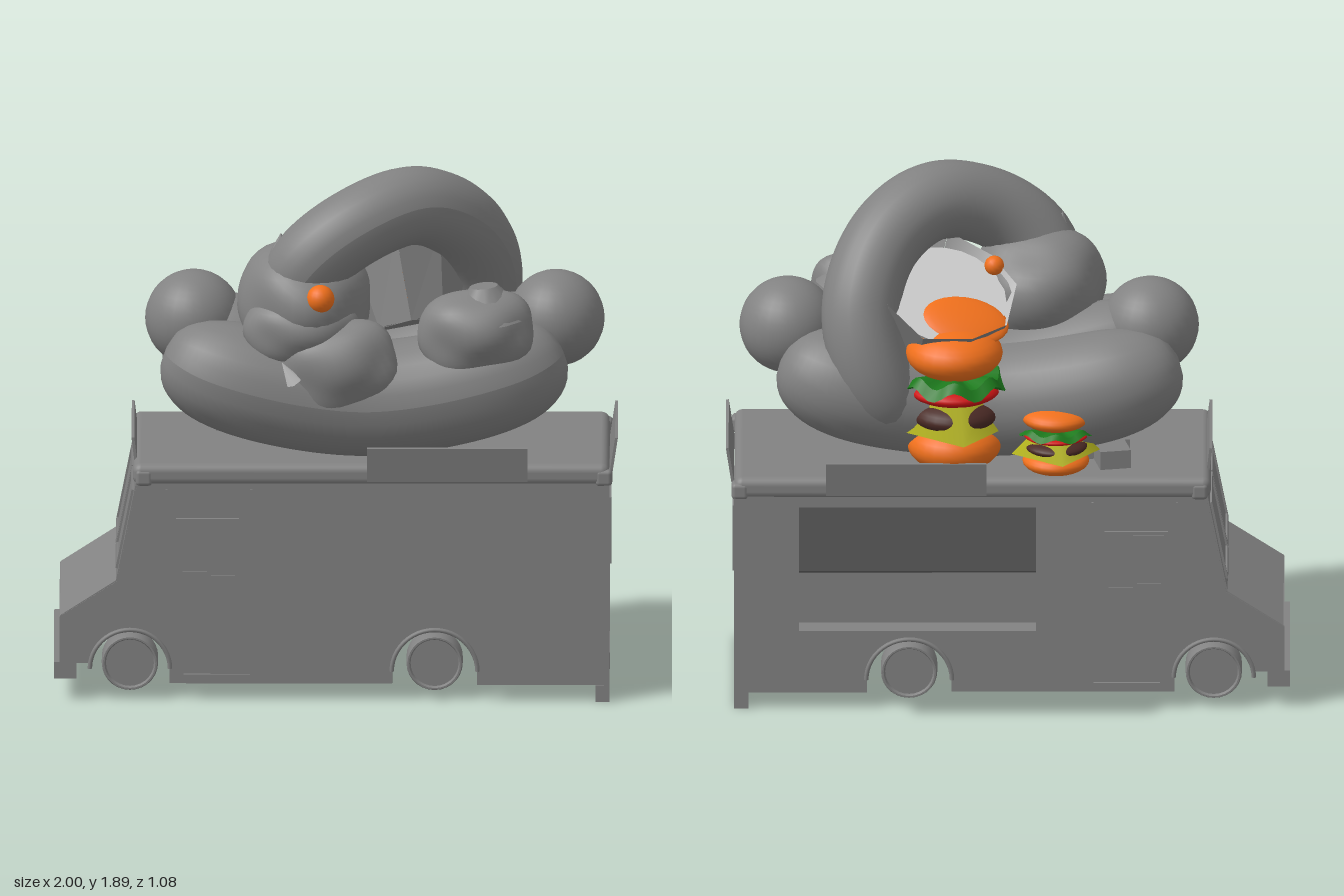
import * as THREE from 'three';
import { toCreasedNormals } from 'three/addons/utils/BufferGeometryUtils.js';
import { RoundedBoxGeometry } from 'three/addons/geometries/RoundedBoxGeometry.js';

const mat = (color, extra = {}) => new THREE.MeshStandardMaterial({ color, side: THREE.DoubleSide, ...extra });
const GREY = mat(0x828282), DARK = mat(0x444444);
const ORANGE = mat(0xf0701c), BROWN = mat(0x4a2a25), CHEESE = mat(0xb0b01c);
const GREEN = mat(0x1d7a1d), RED = mat(0xd01515), WHITE = mat(0xf2f2f2);
const Z0 = -0.275, Z1 = 0.45, ZC = (Z0 + Z1) / 2;
const V = (x, y, z) => new THREE.Vector3(x, y, z);

export function createModel() {
  const root = new THREE.Group();
  const add = (name, geo, m = GREY, p = [0, 0, 0], r = [0, 0, 0], parent = root) => {
    const mesh = new THREE.Mesh(geo, m);
    mesh.name = name;
    mesh.position.set(...p);
    mesh.rotation.set(...r);
    parent.add(mesh);
    return mesh;
  };
  const box = (name, x0, x1, y0, y1, z0, z1) =>
    add(name, new THREE.BoxGeometry(x1 - x0, y1 - y0, z1 - z0), GREY, [(x0 + x1) / 2, (y0 + y1) / 2, (z0 + z1) / 2]);
  // rectangular frame with a thin pane, facing +z of its group
  const windowFrame = (name, w, h, p, r) => {
    const g = new THREE.Group();
    g.name = name;
    const s = 0.014;
    for (const k of [-1, 1]) {
      add('frameSide', new THREE.BoxGeometry(s, h, 0.018), GREY, [k * w / 2, 0, 0], [0, 0, 0], g);
      add('frameRail', new THREE.BoxGeometry(w + s, s, 0.018), GREY, [0, k * h / 2, 0], [0, 0, 0], g);
    }
    add('pane', new THREE.BoxGeometry(w, h, 0.004), GREY, [0, 0, 0], [0, 0, 0], g);
    g.position.set(...p);
    g.rotation.set(...r);
    root.add(g);
    return g;
  };

  // Truck side walls with wheel arches, open underneath
  const side = new THREE.Shape();
  side.moveTo(-0.98, 0.14);
  side.lineTo(-0.87, 0.14);
  side.absarc(-0.73, 0.12, 0.14, Math.PI - 0.14, 0, true);
  side.lineTo(-0.59, 0.065);
  side.lineTo(0.2, 0.065);
  side.absarc(0.35, 0.11, 0.15, Math.PI, 0, true);
  for (const p of [[0.5, 0.06], [0.965, 0.06], [0.965, 0.82], [-0.7, 0.82], [-0.775, 0.44], [-0.98, 0.31]]) side.lineTo(...p);
  side.closePath();
  for (const z of [Z0, Z1 - 0.01])
    add('sideWall', new THREE.ExtrudeGeometry(side, { depth: 0.01, bevelEnabled: false, curveSegments: 16 }), GREY, [0, 0, z]);

  // Back, windscreen, bonnet and grille panels
  const outline = [[0.96, 0.06], [0.96, 0.82], [-0.7, 0.82], [-0.775, 0.44], [-0.975, 0.31], [-0.975, 0.14]];
  ['backWall', 'ceiling', 'windscreenWall', 'bonnet', 'grille'].forEach((n, i) => {
    const [a, b] = [outline[i], outline[i + 1]], dx = b[0] - a[0], dy = b[1] - a[1];
    add(n, new THREE.BoxGeometry(Math.hypot(dx, dy), 0.01, Z1 - Z0 - 0.004), GREY,
      [(a[0] + b[0]) / 2, (a[1] + b[1]) / 2, ZC], [0, 0, Math.atan2(dy, dx)]);
  });
  add('roof', new RoundedBoxGeometry(1.69, 0.08, 0.74, 3, 0.03), GREY, [0.125, 0.83, ZC]);
  for (const z of [Z0 + 0.02, Z1 - 0.02]) for (const x of [-0.68, 0.95])
    add('roofCorner', new RoundedBoxGeometry(0.06, 0.06, 0.06, 2, 0.015), GREY, [x, 0.82, z]);
  box('frontBumper', -1, -0.92, 0.08, 0.14, Z0 + 0.01, Z1 - 0.01);
  box('rearBumper', 0.92, 0.97, 0, 0.06, Z0, Z1 + 0.01);
  for (const z of [Z0, Z1]) box('cornerTrim', 0.95, 0.97, 0.06, 0.8, z - 0.006, z + 0.006);

  // Windows, doors and arch rims
  for (const z of [0.205, -0.025]) windowFrame('rearWindow', 0.165, 0.23, [0.967, 0.585, z], [0, Math.PI / 2, 0]);
  for (const z of [ZC - 0.165, ZC + 0.165])
    windowFrame('windscreen', 0.3, 0.28, [-0.744, 0.62, z], [0, -Math.PI / 2, 0]).rotation.set(0, -Math.PI / 2, -Math.atan2(0.075, 0.38), 'ZYX');
  for (const [z, r] of [[Z1 + 0.003, 0], [Z0 - 0.003, Math.PI]]) {
    windowFrame('doorWindow', 0.21, 0.21, [-0.455, 0.56, z], [0, r, 0]);
    windowFrame('slidingPane', 0.1, 0.18, [-0.5, 0.56, z], [0, r, 0]);
    for (const x of [-0.6, -0.3]) box('doorSeam', x - 0.004, x + 0.004, x < -0.5 ? 0.26 : 0.1, 0.78, z - 0.004, z + 0.004);
    box('doorSill', -0.54, -0.3, 0.09, 0.1, z - 0.004, z + 0.004);
    for (const [x, y, R] of [[-0.73, 0.12, 0.142], [0.35, 0.11, 0.152]])
      add('archRim', new THREE.TorusGeometry(R, 0.008, 6, 24, Math.PI), GREY, [x, y, z]);
  }
  const tyre = [[0, 0.04], [0.085, 0.04], [0.09, 0.05], [0.096, 0.05], [0.1, 0.04], [0.1, -0.05], [0, -0.05]];
  const wheel = toCreasedNormals(new THREE.LatheGeometry(tyre.map(p => new THREE.Vector2(...p)), 28), 0.6);
  for (const x of [-0.73, 0.35]) for (const [z, s] of [[0.39, 1], [-0.22, -1]])
    add('wheel', wheel, GREY, [x, 0.135, z], [s * Math.PI / 2, 0, 0]);

  // Serving hatch awning with side wings, and counter shelf
  add('awning', new THREE.BoxGeometry(0.84, 0.012, 0.31), DARK, [0.32, 0.685, -0.41], [-Math.atan2(0.14, 0.275), 0, 0]);
  const wing = new THREE.Shape([[0.27, 0.75], [0.548, 0.61], [0.548, 0.56], [0.27, 0.66]].map(p => new THREE.Vector2(...p)));
  for (const x of [-0.1, 0.735]) add('awningWing', new THREE.ExtrudeGeometry(wing, { depth: 0.006, bevelEnabled: false }), GREY, [x, 0, 0], [0, Math.PI / 2, 0]);
  box('awningLip', -0.1, 0.74, 0.56, 0.615, -0.55, -0.542);
  box('counterShelf', -0.1, 0.74, 0.305, 0.325, -0.36, -0.27);

  // Blank sign boards leaning outwards on all four sides
  add('sideSign', new THREE.BoxGeometry(0.57, 0.13, 0.01), GREY, [0.395, 0.875, 0.472], [0.17, 0, 0]);
  add('servingSign', new THREE.BoxGeometry(0.57, 0.13, 0.01), GREY, [0.36, 0.875, -0.3], [-0.17, 0, 0]);
  add('rearSign', new THREE.BoxGeometry(0.01, 0.13, 0.5), GREY, [0.985, 0.875, 0.095], [0, 0, -0.15]);
  add('frontSign', new THREE.BoxGeometry(0.01, 0.13, 0.5), GREY, [-0.712, 0.875, 0.095], [0, 0, 0.12]);

  // Tubes with rounded ends, swept along a curve
  const sweep = (name, pts, r, power) => {
    const curve = new THREE.CatmullRomCurve3(pts.map(p => V(...p)));
    const n = 64, rs = 24, geo = new THREE.TubeGeometry(curve, n, r, rs), pos = geo.attributes.position;
    for (let i = 0; i <= n; i++) {
      const c = curve.getPointAt(i / n), k = Math.sqrt(Math.max(0, 1 - Math.abs(2 * i / n - 1) ** power));
      for (let j = 0; j <= rs; j++) {
        const id = i * (rs + 1) + j, v = V(0, 0, 0).fromBufferAttribute(pos, id).sub(c).multiplyScalar(k).add(c);
        pos.setXYZ(id, v.x, v.y, v.z);
      }
    }
    geo.computeVertexNormals();
    return add(name, geo);
  };
  // Hot dog
  for (const [end, z, mid] of [[0.22, 0.29, 0.29], [0.0, -0.06, 0.0]])
    sweep('hotDogBun', [[-0.6, 1.24, end], [-0.4, 1.16, z], [0.1, 1.07, mid], [0.6, 1.16, z], [0.8, 1.24, end]], 0.205, 6);
  sweep('hotDogSausage', [[-0.58, 1.32, 0.1], [-0.4, 1.26, 0.1], [0.1, 1.15, 0.1], [0.65, 1.26, 0.1], [0.84, 1.32, 0.1]], 0.16, 6);
  for (const x of [-0.505, 0.78]) add('sausageEnd', new THREE.SphereGeometry(0.172, 28, 20), GREY, [x, 1.315, 0.1]);

  // Arching tail looping from the head over to the back
  sweep('archingTail', [[-0.17, 1.38, 0.24], [-0.1, 1.56, 0.3], [0.06, 1.69, 0.28], [0.27, 1.748, 0.18], [0.44, 1.65, 0.05],
    [0.52, 1.45, -0.08], [0.48, 1.22, -0.14], [0.37, 1.02, -0.1]], 0.14, 14);

  // Lumpy creature parts
  const lump = (name, p, radii, amp, f, r = [0, 0, 0]) => {
    const geo = new THREE.SphereGeometry(1, 36, 26), pos = geo.attributes.position;
    for (let i = 0; i < pos.count; i++) {
      const v = V(0, 0, 0).fromBufferAttribute(pos, i);
      v.multiplyScalar(1 + amp * Math.sin(f * v.x + 1) * Math.cos(f * v.y) + amp * 0.6 * Math.sin(f * 1.6 * v.z + v.y * 3));
      pos.setXYZ(i, v.x * radii[0], v.y * radii[1], v.z * radii[2]);
    }
    geo.computeVertexNormals();
    return add(name, geo, GREY, p, r);
  };
  lump('creatureHead', [-0.11, 1.41, 0.24], [0.24, 0.22, 0.24], 0.05, 4);
  lump('creatureMuzzle', [0.01, 1.21, 0.41], [0.22, 0.175, 0.115], 0.06, 4, [0, 0, 0.3]);
  lump('creatureCheek', [-0.12, 1.34, 0.36], [0.21, 0.13, 0.13], 0.05, 4);
  lump('creatureFist', [0.5, 1.33, 0.37], [0.21, 0.16, 0.135], 0.06, 4, [0, 0, 0.15]);
  add('fistTip', new THREE.CylinderGeometry(0.05, 0.15, 0.12, 14), GREY, [0.53, 1.44, 0.35], [0, 0, 0.1]);
  add('headCrest', new THREE.ConeGeometry(0.14, 0.22, 10), GREY, [-0.19, 1.565, 0.28], [0, 0, 0.05]);
  add('tooth', new THREE.ConeGeometry(0.03, 0.09, 6), WHITE, [-0.17, 1.22, 0.49], [0.2, 0, 0.5]);
  add('eye', new THREE.SphereGeometry(0.05, 20, 14), ORANGE, [-0.055, 1.48, 0.455]);

  // Burgers: stacked layers
  const burger = (p, s, sy) => {
    const g = new THREE.Group();
    g.name = 'burger';
    const disc = (name, m, y, r, h) => add(name, new THREE.SphereGeometry(1, 28, 16), m, [0, y, 0], [0, 0, 0], g).scale.set(r, h / 2, r);
    disc('bottomBun', ORANGE, 0.08, 0.18, 0.19);
    disc('patty', BROWN, 0.2, 0.17, 0.13);
    disc('tomato', RED, 0.29, 0.175, 0.09);
    disc('topBun', ORANGE, 0.43, 0.185, 0.19);
    add('cheese', new THREE.CylinderGeometry(0.15, 0.24, 0.13, 4, 1, true), CHEESE, [0, 0.21, 0], [0, 0.15, 0], g);
    const leaf = new THREE.CylinderGeometry(0.17, 0.2, 0.035, 48), pos = leaf.attributes.position;
    for (let i = 0; i < pos.count; i++) {
      const a = Math.atan2(pos.getZ(i), pos.getX(i)), r = Math.hypot(pos.getX(i), pos.getZ(i));
      pos.setY(i, pos.getY(i) + r * 0.1 * Math.sin(a * 7));
    }
    leaf.computeVertexNormals();
    add('lettuce', leaf, GREEN, [0, 0.335, 0], [0, 0, 0], g);
    g.position.set(...p);
    g.scale.set(s, sy, s);
    root.add(g);
  };
  burger([0.19, 0.88, -0.15], 0.93, 0.98);
  burger([-0.17, 0.87, -0.185], 0.66, 0.47);
  add('smallTray', new THREE.BoxGeometry(0.36, 0.075, 0.06), GREY, [-0.25, 0.9, -0.05], [0, 0.12, 0]);
  add('trayEnd', new THREE.BoxGeometry(0.11, 0.075, 0.12), GREY, [-0.37, 0.9, -0.12], [0, 0.2, 0]);

  // Tilted open carton: grey outside, pale inside, with a jagged rim and its filling
  const carton = new THREE.Group();
  carton.name = 'carton';
  const cup = new THREE.CylinderGeometry(0.25, 0.18, 0.29, 9, 1, true), cp = cup.attributes.position;
  for (let i = 0; i < 10; i++) cp.setY(i, 0.145 + (i % 2 ? 0.02 : -0.01));
  add('cartonWall', cup, mat(0x828282, { flatShading: true, side: THREE.FrontSide }), [0, -0.06, 0], [0, 0, 0], carton);
  add('cartonLining', cup, mat(0xf2f2f2, { side: THREE.BackSide }), [0, -0.06, 0], [0, 0, 0], carton);
  add('cartonBase', new THREE.CircleGeometry(0.18, 9), GREY, [0, -0.203, 0], [Math.PI / 2, 0, 0], carton);
  add('sauce', new THREE.CylinderGeometry(0.22, 0.21, 0.02, 24), WHITE, [0, 0.04, 0], [0, 0, 0], carton);
  add('filling', new THREE.SphereGeometry(1, 24, 14), ORANGE, [-0.07, 0.04, -0.1], [0, 0, 0], carton).scale.set(0.16, 0.03, 0.11);
  for (const [x, z] of [[0.22, 0.1], [-0.17, 0.14]])
    add('morsel', new THREE.SphereGeometry(0.035, 14, 10), ORANGE, [x, 0.08, z], [0, 0, 0], carton);
  carton.position.set(0.23, 1.43, -0.01);
  carton.rotation.set(-0.52, 0, 0.18);
  root.add(carton);
  return root;
}
